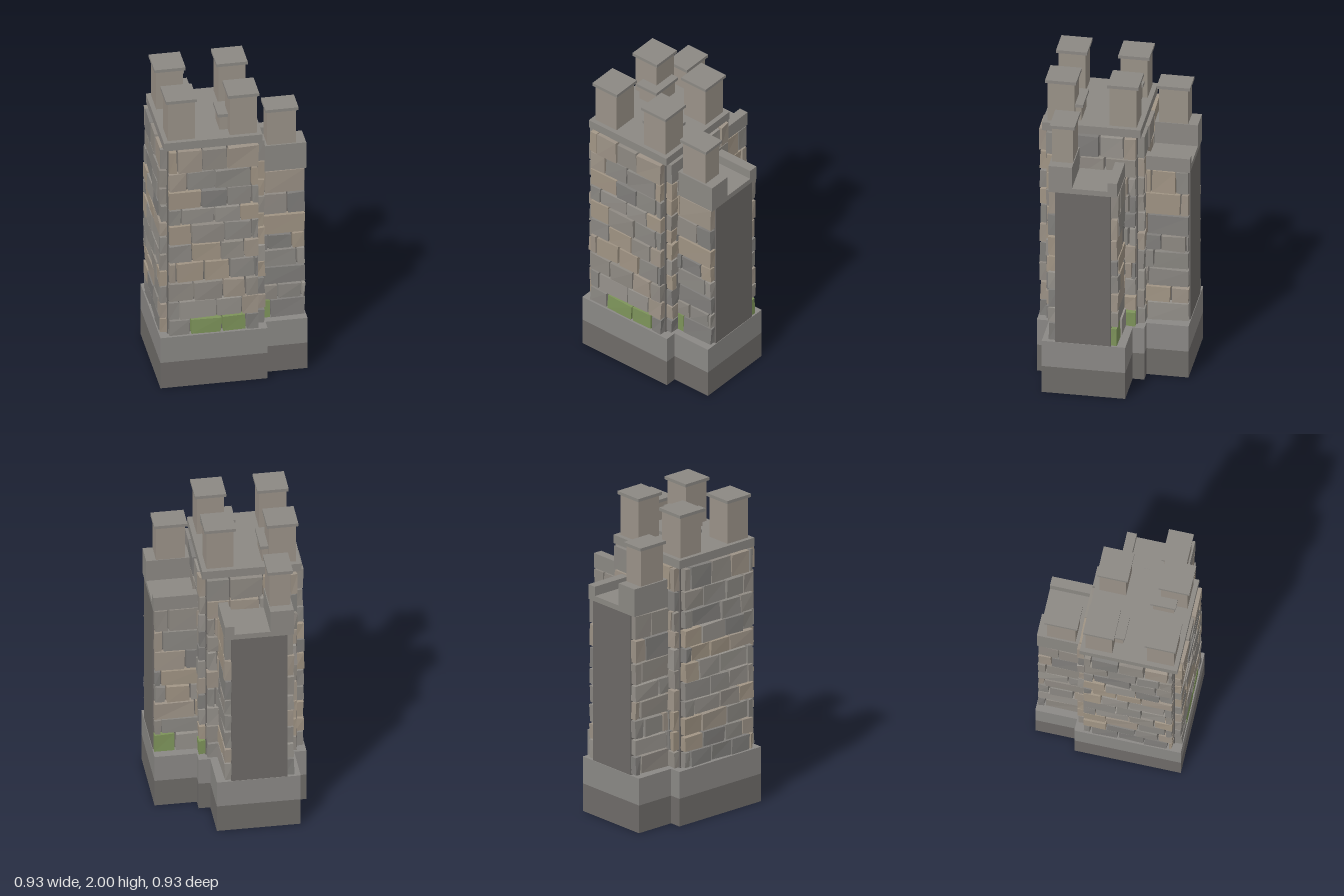
import * as THREE from 'three';

let seed = 7;
const rand = () => (seed = (seed * 16807) % 2147483647) / 2147483647;
const jitter = (a) => (rand() * 2 - 1) * a;

const mat = (color) => new THREE.MeshStandardMaterial({ color, flatShading: true });
const plinthDark = mat(0x6e6b68), plinth = mat(0x8a8885), mortar = mat(0x6c6966);
const trim = mat(0x8b8883), shaft = mat(0x9a9288), moss = mat(0x7d935a);
const stoneMats = [0x8a8782, 0x94908a, 0x9c9286, 0x807e7b, 0x8f8a83, 0xa09484].map(mat);

// Axis-aligned block from its limits; swap mirrors it across the diagonal x = -z
function block(parent, name, material, [x0, x1], [y0, y1], [z0, z1], swap = false) {
  if (swap) [x0, x1, z0, z1] = [-z1, -z0, -x1, -x0];
  const mesh = new THREE.Mesh(new THREE.BoxGeometry(x1 - x0, y1 - y0, z1 - z0), material);
  mesh.position.set((x0 + x1) / 2, (y0 + y1) / 2, (z0 + z1) / 2);
  mesh.name = name;
  parent.add(mesh);
}

// Roughly cut stone: each box corner is nudged a little
function stone(u0, u1, y0, y1, depth, material) {
  const geo = new THREE.BoxGeometry(1, 1, 1);
  const corners = Array.from({ length: 8 }, () => [jitter(0.004), jitter(0.004), jitter(0.004)]);
  const p = geo.attributes.position;
  for (let i = 0; i < p.count; i++) {
    const [x, y, z] = [p.getX(i), p.getY(i), p.getZ(i)];
    const c = corners[(x > 0 ? 1 : 0) + (y > 0 ? 2 : 0) + (z > 0 ? 4 : 0)];
    p.setXYZ(i, (u0 + u1) / 2 + x * (u1 - u0) + c[0],
      (y0 + y1) / 2 + y * (y1 - y0) + c[1], z > 0 ? depth + c[2] : -0.012);
  }
  geo.computeVertexNormals();
  const mesh = new THREE.Mesh(geo, material);
  mesh.name = 'stone';
  return mesh;
}

// Stone facing: levels are course heights, joints the vertical gaps of each course
function facing(parent, name, half, levels, joints, x, z, turn, mossy = [], shift = 0) {
  const wall = new THREE.Group();
  wall.name = name;
  for (let r = 0; r < levels.length - 1; r++) {
    const row = joints[(r + shift) % joints.length];
    const edges = [-half, ...row, half];
    for (let k = 0; k < edges.length - 1; k++) {
      const green = r === 0 && mossy.includes(k);
      const material = green ? moss : stoneMats[Math.floor(rand() * stoneMats.length)];
      wall.add(stone(edges[k] + 0.005, edges[k + 1] - 0.005, levels[r] + 0.006,
        levels[r + 1] - 0.006, 0.041 + jitter(0.004), material));
    }
  }
  wall.position.set(x, 0, z);
  wall.rotation.y = turn;
  parent.add(wall);
}

// Square chimney with a thin cap; limits are those of the cap
function chimney(parent, [x0, x1], [y0, y1], [z0, z1], swap = false) {
  const inset = 0.013;
  block(parent, 'chimneyShaft', shaft, [x0 + inset, x1 - inset], [y0, y1 - 0.02],
    [z0 + inset, z1 - inset], swap);
  block(parent, 'chimneyCap', trim, [x0, x1], [y1 - 0.02, y1], [z0, z1], swap);
}

const towerLevels = [0.355, 0.465, 0.592, 0.725, 0.865, 0.992, 1.13, 1.243, 1.372, 1.503, 1.66];
const sideLevels = [0.355, 0.46, 0.565, 0.685, 0.795, 0.915, 1.04, 1.14, 1.26, 1.38, 1.51, 1.66];
const wingLevels = [0.355, 0.482, 0.59, 0.715, 0.835, 0.945, 1.085, 1.235, 1.395];
const towerJoints = [
  [-0.145, 0.05, 0.2], [-0.215, 0.015, 0.175], [-0.125, 0.055, 0.195], [-0.23, -0.06, 0.1, 0.25],
  [-0.135, 0.045, 0.19], [-0.14, 0.065, 0.235], [-0.2, 0.005, 0.165], [-0.075, 0.085, 0.235],
  [-0.165, 0.005, 0.23], [-0.225, -0.07, 0.085],
];
const wingJoints = [[-0.065], [-0.02, 0.13], [-0.105], [0.1], [-0.08, 0.07], [-0.11], [0.04], [-0.1]];

export function createModel() {
  const model = new THREE.Group();
  model.name = 'stoneTower';
  const Q = Math.PI / 2;

  // Tower: stepped plinth, mortar core, roof slab
  const tower = new THREE.Group();
  tower.name = 'tower';
  model.add(tower);
  block(tower, 'plinthLower', plinthDark, [-0.463, 0.202], [0, 0.18], [-0.202, 0.463]);
  block(tower, 'plinthUpper', plinth, [-0.463, 0.202], [0.18, 0.355], [-0.202, 0.463]);
  block(tower, 'towerCore', mortar, [-0.413, 0.152], [0.355, 1.66], [-0.152, 0.413]);
  block(tower, 'roofSlab', trim, [-0.435, 0.175], [1.66, 1.715], [-0.175, 0.435]);

  // Stone facing on the four tower sides
  facing(tower, 'frontFacing', 0.28, towerLevels, towerJoints, -0.13, 0.413, 0, [1, 2]);
  facing(tower, 'leftFacing', 0.28, sideLevels, towerJoints, 0.152, 0.13, Q, [3], 0);
  facing(tower, 'rightFacing', 0.28, sideLevels, towerJoints, -0.413, 0.13, -Q, [], 3);
  facing(tower, 'backFacing', 0.28, towerLevels, towerJoints, -0.13, -0.152, Math.PI, [], 6);

  // Four tall corner chimneys
  for (const x of [[-0.42, -0.227], [-0.035, 0.158]])
    for (const z of [[-0.158, 0.035], [0.227, 0.42]]) chimney(tower, x, [1.715, 2], z);

  // Two lower wings, mirror images across the diagonal
  for (const swap of [false, true]) {
    const wing = new THREE.Group();
    wing.name = swap ? 'backWing' : 'leftWing';
    model.add(wing);
    block(wing, 'plinthLower', plinthDark, [0.202, 0.463], [0, 0.18], [-0.13, 0.387], swap);
    block(wing, 'plinthUpper', plinth, [0.202, 0.463], [0.18, 0.355], [-0.13, 0.387], swap);
    block(wing, 'wingCore', mortar, [0.152, 0.46], [0.355, 1.395], [-0.04, 0.305], swap);
    block(wing, 'wingRoof', trim, [0.152, 0.463], [1.395, 1.43], [-0.08, 0.345], swap);
    block(wing, 'lowParapet', trim, [0.19, 0.463], [1.43, 1.49], [-0.08, -0.02], swap);
    block(wing, 'highParapet', trim, [0.19, 0.463], [1.43, 1.575], [0.2, 0.345], swap);
    chimney(wing, [0.21, 0.415], [1.575, 1.83], [0.192, 0.347], swap);
    // Short chimney standing against the tall one on the tower roof
    chimney(wing, [-0.085, 0.125], [1.715, 1.83], [0.19, 0.345], swap);
  }
  facing(model, 'leftWingFrontFacing', 0.153, wingLevels, wingJoints, 0.305, 0.305, 0, [0]);
  facing(model, 'leftWingBackFacing', 0.153, wingLevels, wingJoints, 0.305, -0.04, Math.PI, [0], 1);
  facing(model, 'backWingRightFacing', 0.153, wingLevels, wingJoints, -0.305, -0.305, -Q, [], 2);
  facing(model, 'backWingLeftFacing', 0.153, wingLevels, wingJoints, 0.04, -0.305, Q, [], 5);

  return model;
}
